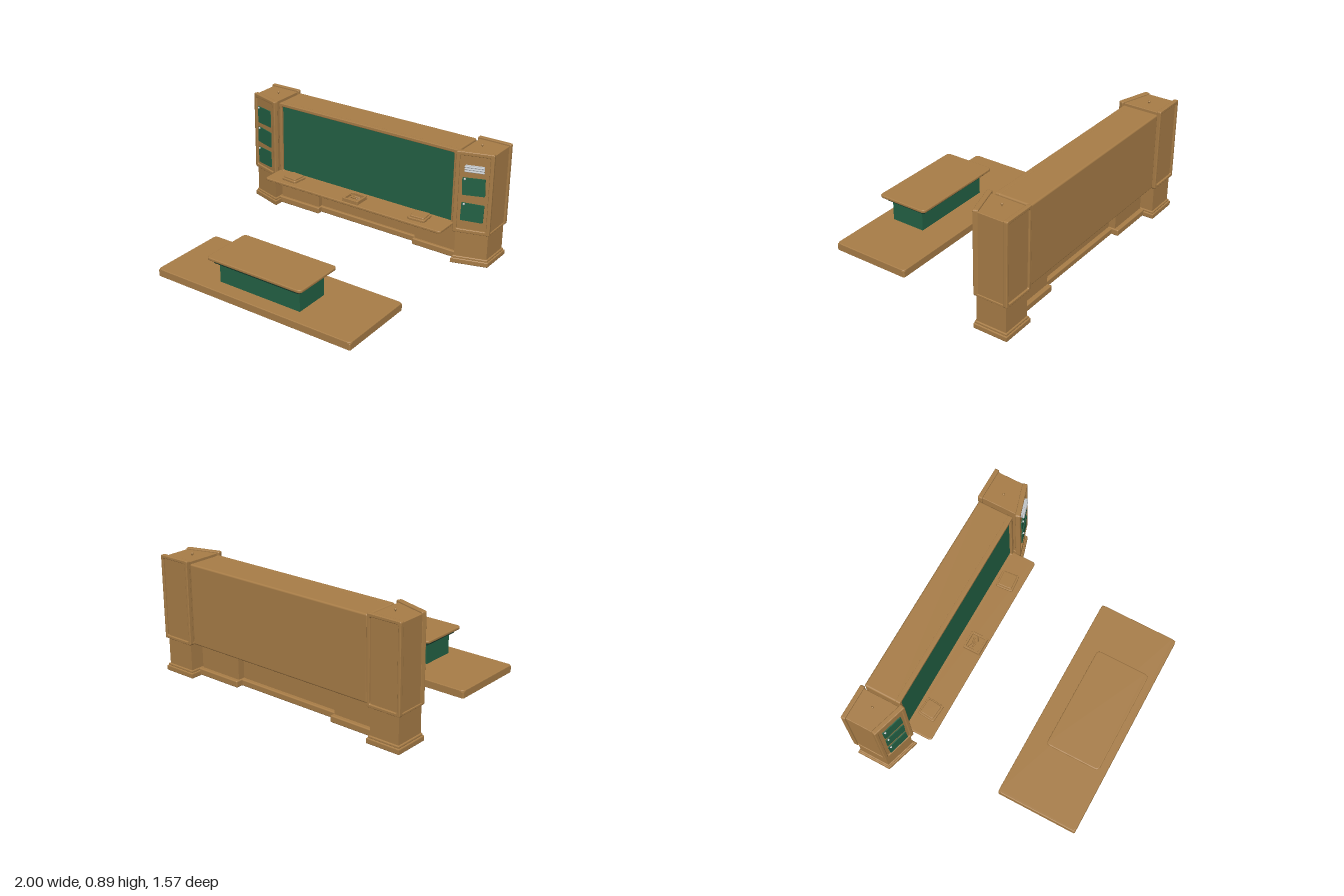
import * as THREE from 'three';
import { RoundedBoxGeometry } from 'three/addons/geometries/RoundedBoxGeometry.js';

const mat = (name, color) => new THREE.MeshStandardMaterial({ name, color });

export function createModel() {
  const wood = mat('wood', 0xa87d47);
  const green = mat('green', 0x236245);
  const darkGreen = mat('dark green', 0x163a2c);
  const grey = mat('light grey', 0xc2c6ca);
  const root = new THREE.Group();
  root.name = 'classroomFurniture';

  const add = (parent, name, geo, material, x = 0, y = 0, z = 0) => {
    const m = new THREE.Mesh(geo, material);
    m.name = name;
    m.position.set(x, y, z);
    parent.add(m);
    return m;
  };
  // Box given by its limits; r > 0 rounds the edges
  const box = (parent, name, material, [x0, x1], [y0, y1], [z0, z1], r = 0) => {
    const s = [x1 - x0, y1 - y0, z1 - z0];
    const geo = r ? new RoundedBoxGeometry(...s, 3, r) : new THREE.BoxGeometry(...s);
    return add(parent, name, geo, material, (x0 + x1) / 2, (y0 + y1) / 2, (z0 + z1) / 2);
  };
  const roundRect = (w, h, r, Type = THREE.Shape) => {
    const p = new Type();
    const a = w / 2, b = h / 2;
    p.moveTo(-a + r, -b);
    p.lineTo(a - r, -b).quadraticCurveTo(a, -b, a, -b + r);
    p.lineTo(a, b - r).quadraticCurveTo(a, b, a - r, b);
    p.lineTo(-a + r, b).quadraticCurveTo(-a, b, -a, b - r);
    p.lineTo(-a, -b + r).quadraticCurveTo(-a, -b, -a + r, -b);
    return p;
  };
  // Extrusion with bevels kept inside the given outline and depth
  const extrude = (shape, depth, bevel) => new THREE.ExtrudeGeometry(shape, {
    depth: depth - 2 * bevel, bevelEnabled: bevel > 0, bevelThickness: bevel,
    bevelSize: bevel, bevelOffset: -bevel, bevelSegments: 3, curveSegments: 5,
  }).translate(0, 0, bevel);
  const frame = (w, h, rim, depth, bevel) => {
    const s = roundRect(w, h, 0.012);
    s.holes.push(roundRect(w - 2 * rim, h - 2 * rim, 0.01, THREE.Path));
    return extrude(s, depth, bevel);
  };
  // Horizontal slab with rounded corners
  const slab = (w, d, r, h, bevel) => extrude(roundRect(w, d, r), h, bevel).rotateX(-Math.PI / 2);

  // Platform, hollow below
  const platform = new THREE.Group();
  platform.name = 'platform';
  root.add(platform);
  add(platform, 'platformTop', slab(1.57, 0.59, 0.03, 0.02, 0.006), wood, 0, 0.036, 0.485);
  add(platform, 'platformRim', frame(1.57, 0.59, 0.02, 0.046, 0.002).rotateX(-Math.PI / 2), wood, 0, 0, 0.485);

  // Desk
  const desk = new THREE.Group();
  desk.name = 'desk';
  root.add(desk);
  box(desk, 'deskBase', green, [-0.328, 0.325], [0.033, 0.215], [0.41, 0.67]);
  add(desk, 'deskLip', slab(0.7, 0.335, 0.015, 0.032, 0.008), darkGreen, 0, 0.206, 0.542);
  add(desk, 'deskTop', slab(0.765, 0.395, 0.03, 0.022, 0.007), wood, 0, 0.235, 0.542);

  // Board cabinet with a recessed writing surface
  const board = new THREE.Group();
  board.name = 'board';
  root.add(board);
  box(board, 'boardBody', wood, [-0.745, 0.74], [0.295, 0.857], [-0.77, -0.535], 0.012);
  add(board, 'boardFrame', frame(1.485, 0.555, 0.025, 0.035, 0.005), wood, -0.0025, 0.58, -0.547);
  box(board, 'writingSurface', green, [-0.722, 0.717], [0.325, 0.832], [-0.54, -0.53]);

  // Ledge and the things lying on it
  add(board, 'ledge', slab(1.48, 0.2, 0.025, 0.02, 0.006), wood, -0.005, 0.307, -0.435);
  box(board, 'ledgeSupport', wood, [-0.72, 0.71], [0.293, 0.308], [-0.54, -0.36]);
  [[-0.56, -0.08], [0.515, 0.08]].forEach(([x, turn]) => {
    const tray = new THREE.Group();
    tray.name = 'tray';
    tray.position.set(x, 0.325, -0.44);
    tray.rotation.y = turn;
    board.add(tray);
    add(tray, 'trayBase', slab(0.13, 0.125, 0.015, 0.018, 0.004), wood);
    add(tray, 'trayTop', slab(0.108, 0.1, 0.012, 0.03, 0.005), wood);
  });
  box(board, 'chalkBox', wood, [-0.065, 0.065], [0.325, 0.335], [-0.47, -0.345]);
  add(board, 'chalkBoxRim', frame(0.13, 0.125, 0.014, 0.026, 0.002).rotateX(-Math.PI / 2), wood, 0, 0.327, -0.408);
  for (let i = 0; i < 4; i++) {
    const stick = add(board, 'chalk', new THREE.CylinderGeometry(0.007, 0.007, 0.08, 8), wood,
      -0.036 + i * 0.024, 0.341, -0.43 + (i % 2) * 0.02);
    stick.rotation.z = Math.PI / 2;
    stick.rotation.y = 0.3 * (i - 1.5);
    stick.scale.y = 0.5;
  }

  // Base below the board, set back in the middle
  const base = new THREE.Group();
  base.name = 'boardBase';
  root.add(base);
  box(base, 'middlePanel', wood, [-0.42, 0.42], [0.06, 0.3], [-0.63, -0.59]);
  box(base, 'middlePlinth', wood, [-0.42, 0.42], [0.05, 0.095], [-0.66, -0.57], 0.008);
  for (const s of [-1, 1]) {
    box(base, 'sideBlock', wood, [s * 0.585 - 0.17, s * 0.585 + 0.17], [0.06, 0.3], [-0.68, -0.55]);
    box(base, 'sidePlinth', wood, [s * 0.585 - 0.18, s * 0.585 + 0.18], [0.05, 0.097], [-0.71, -0.53], 0.008);
  }

  // Towers with slanted fronts; inset shrinks the plan on every side
  const plan = (s, inset) => {
    const xi = 0.752 + inset, xo = 1 - inset;
    const front = x => -0.465 - (x - 0.752) * 0.302 - inset;
    const back = -0.787 + inset;
    return new THREE.Shape([[xi, back], [xo, back], [xo, front(xo)], [xi, front(xi)]]
      .map(([x, z]) => new THREE.Vector2(s * x, -z)));
  };
  for (const s of [-1, 1]) {
    const tower = new THREE.Group();
    tower.name = s > 0 ? 'leftTower' : 'rightTower';
    root.add(tower);
    const level = (name, inset, y0, y1, bevel) =>
      add(tower, name, extrude(plan(s, inset), y1 - y0, bevel).rotateX(-Math.PI / 2), wood, 0, y0, 0);
    level('towerPlinth', 0, 0.045, 0.083, 0.007);
    level('plinthMoulding', 0.008, 0.078, 0.098, 0.007);
    level('pedestal', 0.017, 0.09, 0.295, 0.002);
    level('cabinetFoot', 0.006, 0.283, 0.3, 0.004);
    level('cabinet', 0.012, 0.29, 0.862, 0.004);

    // Back frame
    add(tower, 'backFrame', frame(0.248, 0.59, 0.022, 0.03, 0.005), wood, s * 0.876, 0.58, -0.787);
    // Front frame and what is pinned inside it
    const front = new THREE.Group();
    front.name = 'towerFront';
    front.position.set(s * 0.876, 0, -0.5025);
    front.rotation.y = s * 0.293;
    tower.add(front);
    add(front, 'frontFrame', frame(0.256, 0.59, 0.027, 0.035, 0.006), wood, 0, 0.578, -0.035);

    const notes = s < 0 ? [[0.722, 0.125], [0.562, 0.118], [0.402, 0.122]] : [[0.63, 0.125], [0.442, 0.13]];
    notes.forEach(([y, h], i) => {
      const note = new THREE.Group();
      note.name = 'note';
      note.position.set(0.002, y, -0.004);
      note.rotation.z = [0.03, -0.03, 0.035][i];
      front.add(note);
      add(note, 'paper', extrude(roundRect(0.155, h, 0.006), 0.007, 0), green);
      add(note, 'pin', new THREE.SphereGeometry(0.008, 10, 8), grey, -0.06, h / 2 - 0.008, 0.01);
    });
    if (s > 0) {
      // Small holder with bars
      box(front, 'holderPlate', grey, [-0.06, 0.065], [0.735, 0.78], [-0.01, 0.006]);
      for (const y of [0.742, 0.758, 0.774])
        box(front, 'holderBar', grey, [-0.065, 0.07], [y - 0.005, y + 0.005], [0.004, 0.016], 0.004);
    }
    // Knob on the roof
    add(tower, 'knobStem', new THREE.CylinderGeometry(0.004, 0.004, 0.016, 10), wood, s * 0.85, 0.868, -0.643);
    add(tower, 'knob', new THREE.SphereGeometry(0.009, 12, 8), wood, s * 0.85, 0.877, -0.643);
  }
  return root;
}
